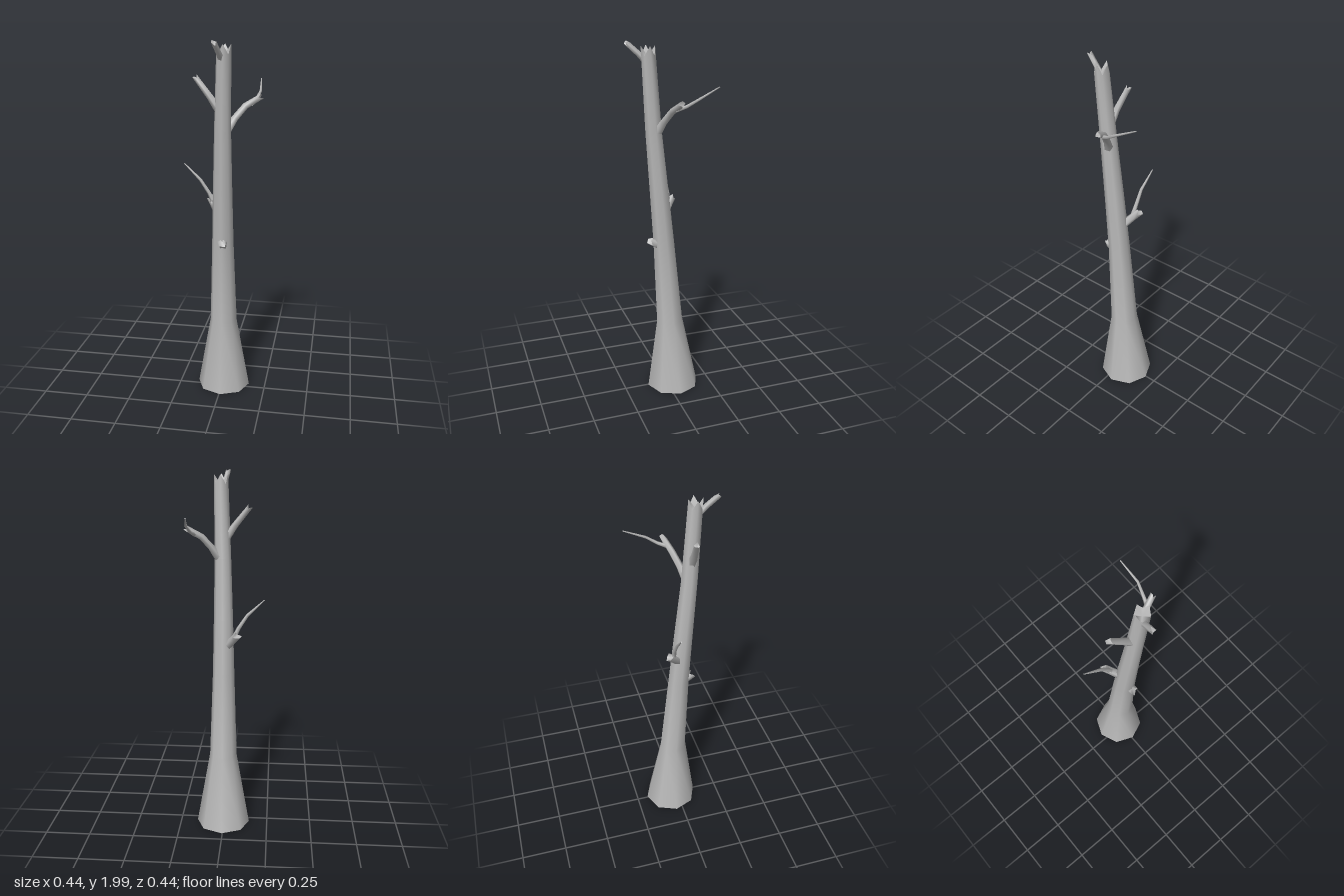
import * as THREE from 'three';

// Tapered limb through points [x, y, z, radius]; the end may be splintered,
// with teeth pushed in and out along the limb and a sunken core.
function limbGeometry(points, sides, { jag = 0, level = false, turn = 0 } = {}) {
  const centres = points.map(p => new THREE.Vector3(p[0], p[1], p[2]));
  const last = points.length - 1;
  const pos = [], index = [];
  let tangent;
  centres.forEach((c, k) => {
    tangent = level
      ? new THREE.Vector3(0, 1, 0)
      : centres[Math.min(k + 1, last)].clone().sub(centres[Math.max(k - 1, 0)]).normalize();
    // Frame across the limb
    const u = new THREE.Vector3(1, 0, 0);
    if (!level) u.set(0.3, 0.1, 1).cross(tangent).normalize();
    const v = tangent.clone().cross(u);
    for (let i = 0; i < sides; i++) {
      const a = turn + (i / sides) * Math.PI * 2;
      const p = c.clone()
        .addScaledVector(u, Math.cos(a) * points[k][3])
        .addScaledVector(v, Math.sin(a) * points[k][3]);
      if (k === last) p.addScaledVector(tangent, i % 2 ? -jag : jag);
      pos.push(p.x, p.y, p.z);
    }
  });
  for (let k = 0; k < last; k++) {
    for (let i = 0; i < sides; i++) {
      const a = k * sides + i, b = k * sides + (i + 1) % sides;
      index.push(a, b, a + sides, b, b + sides, a + sides);
    }
  }
  // End cap with its own vertices, so the rim stays sharp
  const rim = pos.length / 3;
  pos.push(...pos.slice(last * sides * 3));
  const core = centres[last].clone().addScaledVector(tangent, -jag * 1.2);
  pos.push(core.x, core.y, core.z);
  for (let i = 0; i < sides; i++) index.push(rim + i, rim + (i + 1) % sides, rim + sides);

  const g = new THREE.BufferGeometry();
  g.setAttribute('position', new THREE.Float32BufferAttribute(pos, 3));
  g.setIndex(index);
  g.computeVertexNormals();
  return g;
}

export function createModel() {
  const group = new THREE.Group();
  const bark = new THREE.MeshStandardMaterial({ color: 0xb8b8b8, side: THREE.DoubleSide });
  bark.name = 'greyBark';

  const add = (name, points, sides, options) => {
    const mesh = new THREE.Mesh(limbGeometry(points, sides, options), bark);
    mesh.name = name;
    group.add(mesh);
  };

  // Leaning trunk with a flared, open foot and a snapped top
  add('trunk', [
    [0.005, 0, -0.038, 0.15],
    [0.006, 0.42, -0.02, 0.076],
    [0.007, 0.9, 0.015, 0.06],
    [0.01, 1.2, 0.042, 0.053],
    [0.015, 1.53, 0.073, 0.045],
    [0.027, 1.945, 0.104, 0.038],
  ], 8, { jag: 0.025, level: true });

  // Broken branch stubs
  add('topStub', [
    [0.02, 1.88, 0.105, 0.018],
    [0.008, 1.93, 0.15, 0.015],
    [-0.004, 1.98, 0.204, 0.014],
  ], 5, { jag: 0.011 });
  add('upperRightStub', [
    [0.0, 1.635, 0.082, 0.024],
    [-0.05, 1.705, 0.078, 0.018],
    [-0.125, 1.798, 0.064, 0.015],
  ], 5, { jag: 0.012 });
  add('lowerRightStub', [
    [-0.02, 1.06, 0.0, 0.024],
    [-0.05, 1.1, -0.033, 0.022],
    [-0.072, 1.128, -0.058, 0.022],
  ], 5, { jag: 0.012 });
  add('frontStub', [
    [0.015, 0.895, 0.05, 0.027],
    [0.015, 0.917, 0.09, 0.024],
  ], 5, { jag: 0.013, turn: 0.4 });

  // Left branch with a broken end
  add('leftBranch', [
    [0.04, 1.535, 0.057, 0.024],
    [0.075, 1.59, 0.037, 0.019],
    [0.125, 1.65, 0.01, 0.018],
    [0.2, 1.695, -0.015, 0.016],
  ], 5, { jag: 0.012 });

  // Thin bent twigs tapering to a point
  add('leftTwig', [
    [0.158, 1.662, 0.0, 0.012],
    [0.175, 1.68, -0.05, 0.009],
    [0.19, 1.715, -0.11, 0.007],
    [0.18, 1.77, -0.226, 0.003],
  ], 5);
  add('rightTwig', [
    [-0.05, 1.105, -0.03, 0.014],
    [-0.078, 1.165, -0.034, 0.011],
    [-0.125, 1.237, -0.031, 0.009],
    [-0.216, 1.324, -0.038, 0.003],
  ], 5);

  return group;
}
